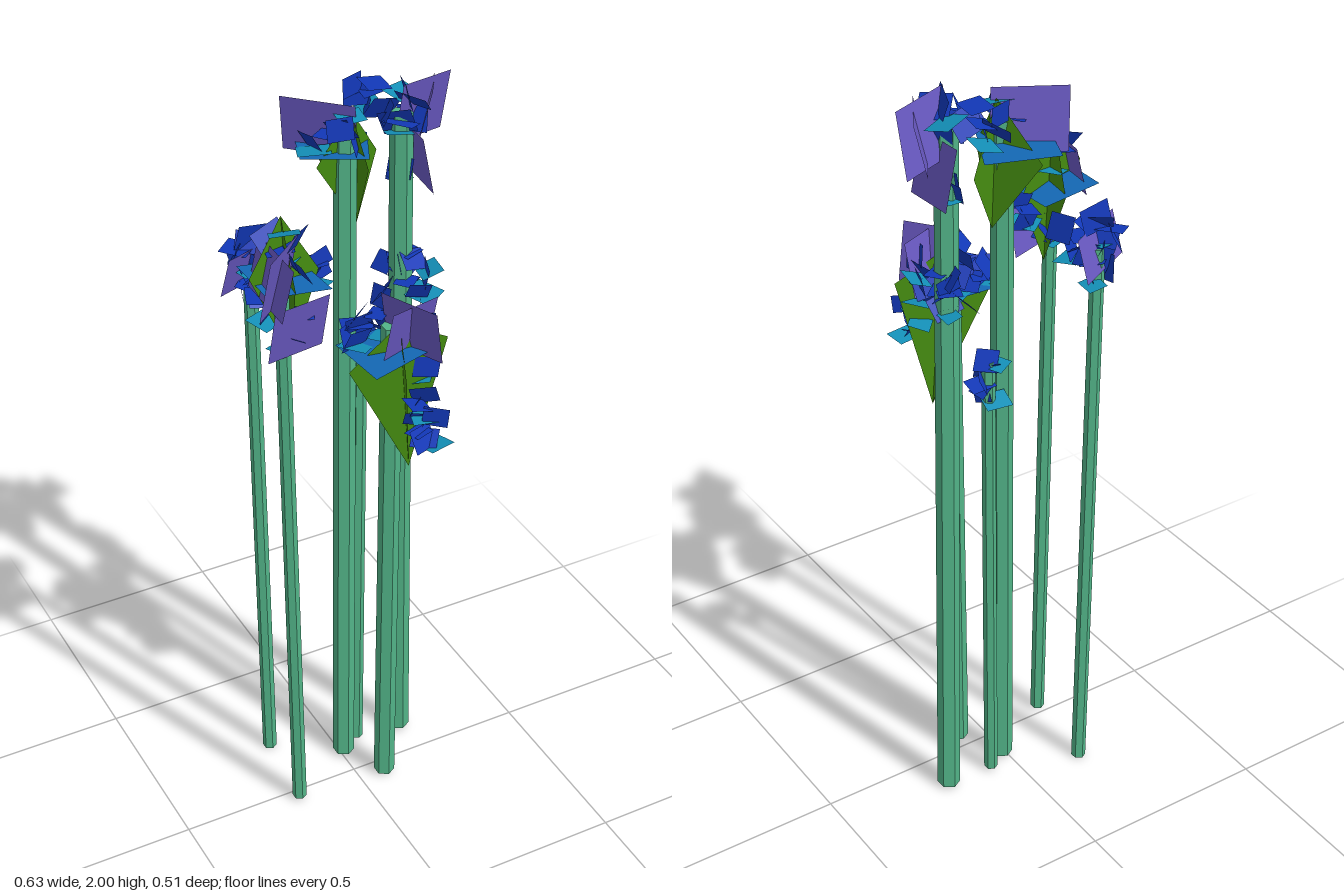
import * as THREE from 'three';

const mat = (color) => new THREE.MeshStandardMaterial({ color, flatShading: true, side: THREE.DoubleSide });
const stemMat = mat(0x52b488), green = mat(0x458c10), lidBlue = mat(0x1468b4);
const purple = mat(0x6a5ac4), blue = mat(0x1238b8), teal = mat(0x1490b8);

let seed = 7;
const rnd = (a, b) => {
  seed = (seed * 16807) % 2147483647;
  return a + (b - a) * (seed / 2147483647);
};

// Flat four-cornered card
function card(name, corners, material) {
  const g = new THREE.BufferGeometry();
  g.setAttribute('position', new THREE.Float32BufferAttribute(corners.flat(), 3));
  g.setIndex([0, 1, 2, 0, 2, 3]);
  g.computeVertexNormals();
  const m = new THREE.Mesh(g, material);
  m.name = name;
  return m;
}

// Slim hexagonal stalk between two points
function stem(a, b, r) {
  const from = new THREE.Vector3(...a), to = new THREE.Vector3(...b);
  const dir = to.clone().sub(from);
  const m = new THREE.Mesh(new THREE.CylinderGeometry(r * 0.95, r, dir.length(), 6), stemMat);
  m.name = 'stem';
  m.position.copy(from).add(to).multiplyScalar(0.5);
  m.quaternion.setFromUnitVectors(new THREE.Vector3(0, 1, 0), dir.normalize());
  return m;
}

// Flower head: two crossed upright green kites under a nearly level blue leaf
function flowerHead({ top, bottom, left, right, front, back, lid }) {
  const g = new THREE.Group();
  g.name = 'flowerHead';
  g.add(card('greenLeaf', [bottom, right, top, left], green));
  g.add(card('greenLeaf', [bottom, back, top, front], green));
  g.add(card('levelLeaf', lid, lidBlue));
  return g;
}

// Upright petal over a ground line, leaning a little
function petal([x0, z0, x1, z1], y0, y1, lean = 0.015, tip = 0.012) {
  const l = Math.hypot(x1 - x0, z1 - z0);
  const nx = (-(z1 - z0) / l) * lean, nz = ((x1 - x0) / l) * lean;
  return card('petal', [
    [x0 - nx, y0 + tip, z0 - nz], [x1 - nx, y0, z1 - nz],
    [x1 + nx, y1 - tip, z1 + nz], [x0 + nx, y1, z0 + nz],
  ], purple);
}

// Loose bunch of small leaves, spread evenly upwards through a box
function bunch([x, y, z], [sx, sy, sz], count, size) {
  const g = new THREE.Group();
  g.name = 'leafBunch';
  for (let i = 0; i < count; i++) {
    const flat = i % 3 === 0;
    const s = size * rnd(0.8, 1.15);
    const leaf = new THREE.Mesh(new THREE.PlaneGeometry(s, s * 0.8), flat && i % 2 === 0 ? teal : blue);
    leaf.name = 'leaf';
    leaf.position.set(x + rnd(-sx, sx), y + sy * ((2 * i) / (count - 1) - 1), z + rnd(-sz, sz));
    leaf.rotation.set(flat ? rnd(-1.9, -1.2) : rnd(-1, 0.6), rnd(0, 6.28), rnd(-0.4, 0.4), 'YXZ');
    g.add(leaf);
  }
  return g;
}

export function createModel() {
  const model = new THREE.Group();
  model.name = 'flowerStalks';

  // Stalks: foot, top, radius
  [
    [[-0.18, 0.01, 0.025], [-0.212, 1.62, 0.045], 0.019],
    [[-0.16, 0.003, -0.2], [-0.178, 1.55, -0.195], 0.019],
    [[0.01, 0.012, -0.08], [0.033, 1.9, -0.105], 0.029],
    [[0.196, 0.012, -0.105], [0.172, 1.92, -0.09], 0.03],
    [[0.072, 0.012, 0.042], [0.065, 1.46, 0.07], 0.028],
    [[0.068, 0.012, -0.115], [0.09, 1.3, -0.135], 0.018],
  ].forEach((s) => model.add(stem(...s)));

  // Flower heads
  [
    {
      top: [-0.2, 1.8, 0.025], bottom: [-0.175, 1.42, 0.02],
      left: [-0.285, 1.66, 0.03], right: [-0.09, 1.62, -0.005],
      front: [-0.2, 1.64, 0.095], back: [-0.18, 1.62, -0.06],
      lid: [[-0.27, 1.64, -0.07], [-0.115, 1.62, -0.07], [-0.105, 1.62, 0.095], [-0.27, 1.64, 0.095]],
    },
    {
      top: [0.045, 1.95, -0.1], bottom: [0.07, 1.64, -0.12],
      left: [-0.05, 1.83, -0.09], right: [0.145, 1.8, -0.16],
      front: [0.06, 1.82, -0.04], back: [0.0, 1.82, -0.22],
      lid: [[-0.03, 1.85, -0.255], [0.13, 1.84, -0.18], [0.06, 1.85, -0.035], [-0.09, 1.86, -0.095]],
    },
    {
      top: [0.07, 1.48, 0.1], bottom: [0.1, 1.06, 0.1],
      left: [-0.05, 1.36, 0.07], right: [0.19, 1.42, 0.12],
      front: [0.04, 1.37, 0.19], back: [0.1, 1.34, -0.02],
      lid: [[-0.05, 1.4, 0], [0.11, 1.41, -0.01], [0.12, 1.41, 0.145], [-0.035, 1.4, 0.18]],
    },
  ].forEach((h) => model.add(flowerHead(h)));

  // Purple petals: ground line, bottom, top
  [
    [[-0.305, 0.155, -0.18, 0.04], 1.6, 1.77],
    [[-0.255, 0.17, -0.24, -0.04], 1.6, 1.74],
    [[-0.26, 0.09, -0.1, 0.05], 1.44, 1.6],
    [[-0.26, -0.16, -0.11, -0.23], 1.49, 1.61],
    [[-0.085, -0.2, 0.055, -0.09], 1.82, 1.98],
    [[0.21, -0.17, 0.205, -0.015], 1.73, 1.89],
    [[0.16, -0.08, 0.31, -0.125], 1.83, 2.0],
    [[0.215, -0.05, 0.285, -0.165], 1.84, 1.98],
    [[0.055, 0.05, 0.13, 0.185], 1.39, 1.55],
    [[0.02, 0.135, 0.165, 0.09], 1.39, 1.54],
  ].forEach((p) => model.add(petal(...p)));

  // Leaf bunches: centre, half extents, count, leaf size
  [
    [[-0.18, 1.55, -0.203], [0.035, 0.08, 0.03], 12, 0.075],
    [[-0.185, 1.52, -0.09], [0.03, 0.05, 0.03], 6, 0.075],
    [[-0.085, 1.6, -0.035], [0.02, 0.03, 0.02], 5, 0.065],
    [[-0.21, 1.72, 0.03], [0.035, 0.05, 0.045], 7, 0.075],
    [[-0.18, 1.53, 0.02], [0.04, 0.07, 0.04], 6, 0.065],
    [[0.12, 1.93, -0.185], [0.025, 0.03, 0.025], 5, 0.075],
    [[0.0, 1.9, -0.11], [0.05, 0.04, 0.05], 7, 0.07],
    [[0.18, 1.93, -0.1], [0.055, 0.045, 0.06], 10, 0.075],
    [[0.2, 1.76, -0.12], [0.03, 0.02, 0.03], 3, 0.06],
    [[0.2, 1.5, -0.06], [0.025, 0.05, 0.045], 10, 0.07],
    [[0.17, 1.5, -0.14], [0.03, 0.05, 0.02], 6, 0.065],
    [[-0.01, 1.44, 0.02], [0.025, 0.03, 0.03], 6, 0.07],
    [[0.07, 1.47, 0.04], [0.03, 0.06, 0.04], 6, 0.07],
    [[0.13, 1.4, 0.09], [0.015, 0.09, 0.03], 6, 0.065],
    [[0.08, 1.26, 0.207], [0.025, 0.06, 0.025], 11, 0.065],
    [[0.1, 1.25, -0.135], [0.03, 0.06, 0.015], 8, 0.06],
  ].forEach((b) => model.add(bunch(...b)));

  return model;
}
